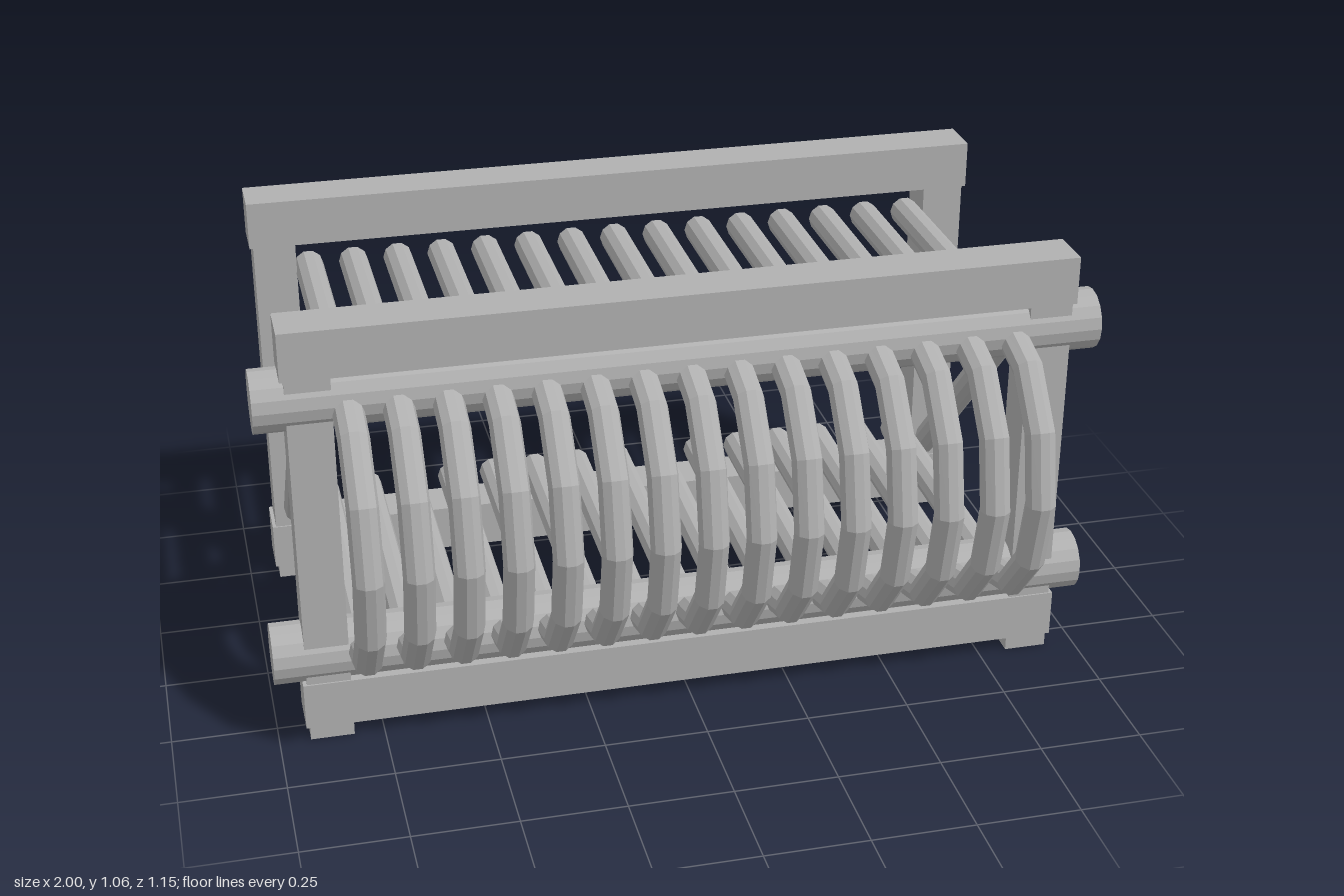
import * as THREE from 'three';

// Sweep a round section along a polyline of [z, y] points lying in a plane of constant x
function bentBar(points, radius, sides) {
  const path = points.map(([z, y]) => new THREE.Vector3(0, y, z));
  const pos = [], index = [];
  const n = path.length;
  path.forEach((p, i) => {
    const a = p.clone().sub(path[Math.max(i - 1, 0)]).normalize();
    const b = path[Math.min(i + 1, n - 1)].clone().sub(p).normalize();
    const t = a.add(b).normalize();
    for (let j = 0; j < sides; j++) {
      const w = (j / sides) * Math.PI * 2;
      const c = Math.cos(w) * radius, s = Math.sin(w) * radius;
      pos.push(c, p.y + t.z * s, p.z - t.y * s);
    }
  });
  for (let i = 0; i < n - 1; i++) {
    for (let j = 0; j < sides; j++) {
      const k = (j + 1) % sides;
      const a = i * sides + j, b = i * sides + k;
      index.push(a, b, a + sides, b, b + sides, a + sides);
    }
  }
  // flat end caps
  for (let j = 1; j < sides - 1; j++) {
    const e = (n - 1) * sides;
    index.push(0, j + 1, j, e, e + j, e + j + 1);
  }
  const g = new THREE.BufferGeometry();
  g.setAttribute('position', new THREE.Float32BufferAttribute(pos, 3));
  g.setIndex(index);
  const flat = g.toNonIndexed();
  flat.computeVertexNormals();
  return flat;
}

export function createModel() {
  const model = new THREE.Group();
  model.name = 'dishRack';
  const grey = new THREE.MeshStandardMaterial({ color: 0xb0b0b0, flatShading: true });
  grey.name = 'plain grey';

  const add = (geometry, name, x, y, z) => {
    const mesh = new THREE.Mesh(geometry, grey);
    mesh.name = name;
    mesh.position.set(x, y, z);
    model.add(mesh);
    return mesh;
  };

  // Two rectangular end frames: posts with a rail above and below
  const post = new THREE.BoxGeometry(0.104, 1.0, 0.109);
  const rail = new THREE.BoxGeometry(1.87, 0.118, 0.117);
  for (const [side, z] of [['front', 0.261], ['back', -0.519]]) {
    for (const s of [-1, 1]) add(post, side + (s > 0 ? 'Left' : 'Right') + 'Post', s * 0.874, 0.5, z);
    add(rail, side + 'TopRail', 0, 1.003, z);
    add(rail, side + 'BottomRail', 0, 0.094, z);
  }

  // Long round rods through the front posts
  const rod = new THREE.CylinderGeometry(0.074, 0.074, 2, 16).rotateZ(Math.PI / 2);
  add(rod, 'upperRod', 0, 0.875, 0.254);
  add(rod, 'lowerRod', 0, 0.212, 0.254);

  // Row of bent bars, running forward, round the front and back again
  const bar = bentBar([
    [-0.519, 0.866], [0.254, 0.875], [0.405, 0.831], [0.505, 0.711], [0.542, 0.544],
    [0.505, 0.378], [0.405, 0.257], [0.254, 0.212], [-0.519, 0.222],
  ], 0.0365, 10);
  for (let i = 0; i < 15; i++) add(bar, 'bentBar', (i - 7) * 0.1125, 0, 0);

  // Diagonal braces at both ends
  const brace = bentBar([[0.235, 0.935], [-0.5, 0.17]], 0.034, 10);
  for (const s of [-1, 1]) add(brace, s > 0 ? 'leftBrace' : 'rightBrace', s * 0.868, 0, 0);

  return model;
}
